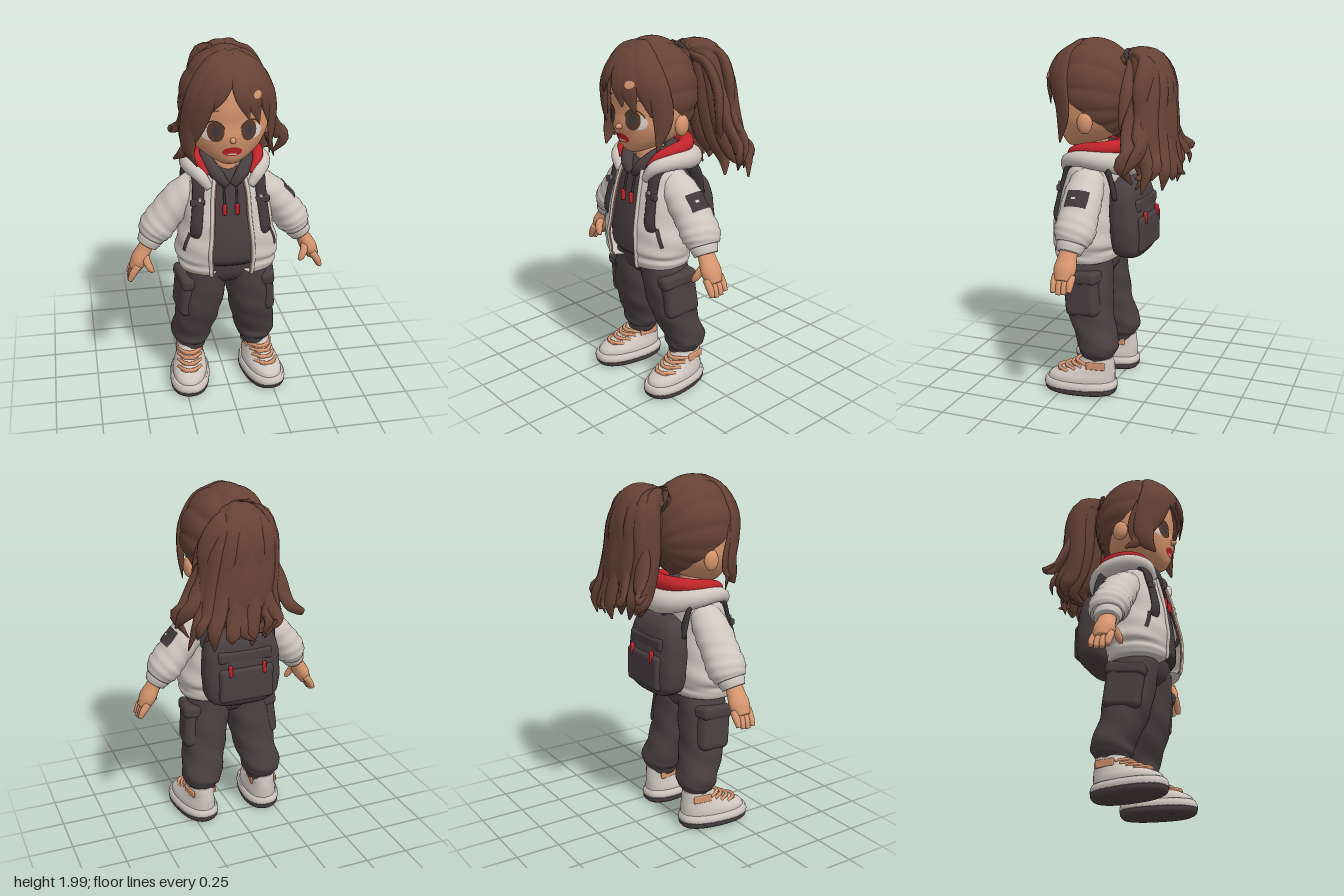
import * as THREE from 'three';
import { RoundedBoxGeometry } from 'three/addons/geometries/RoundedBoxGeometry.js';

const mat = (name, color) => Object.assign(new THREE.MeshStandardMaterial({ color, side: THREE.DoubleSide }), { name });
const V = (x, y, z) => new THREE.Vector3(x, y, z);
const spline = pts => new THREE.CatmullRomCurve3(pts, false, 'catmullrom', 0.5);
const SIDES = [1, -1];

// surface from at(u, v, k); k is 0 on the two end rows so that they pinch shut
function grid(at, n, m, closed = true) {
  const cols = closed ? n : n + 1, pos = [], idx = [];
  for (let j = 0; j <= m; j++) for (let i = 0; i < cols; i++) {
    const v = THREE.MathUtils.clamp((j - 1) / (m - 2), 0, 1);
    pos.push(...at(i / n, v, j === 0 || j === m ? 0 : 1).toArray());
  }
  for (let j = 0; j < m; j++) for (let i = 0; i < n; i++) {
    const k = (i + 1) % cols, a = j * cols + i, b = j * cols + k;
    idx.push(a, b, b + cols, a, b + cols, a + cols);
  }
  const g = new THREE.BufferGeometry();
  g.setAttribute('position', new THREE.Float32BufferAttribute(pos, 3));
  g.setIndex(idx);
  g.computeVertexNormals();
  return g;
}

// upright body from rows [y, cx, cz, rx, rz], bottom to top; p squares it, gap opens the front
function loft(rows, { p = 2, gap = 0, n = 36, m = 30, side = 1, fold = 0 } = {}) {
  const mid = spline(rows.map(r => V(r[1] * side, r[0], r[2])));
  const rad = spline(rows.map(r => V(r[3], 0, r[4])));
  const pw = s => Math.sign(s) * Math.abs(s) ** (2 / p);
  const at = (u, v, k = 1) => {
    const a = gap + u * (Math.PI * 2 - 2 * gap), c = mid.getPoint(v), r = rad.getPoint(v);
    const w = k * (1 + fold * Math.sin(a * 3 + v * 34) * Math.sin(v * Math.PI));
    return V(c.x + r.x * w * pw(Math.sin(a)), c.y, c.z + r.z * w * pw(Math.cos(a)));
  };
  const g = grid(at, n, m, gap === 0);
  g.userData.at = at;
  return g;
}

// tapering strand through [x, y, z, r]; flat is the thickness along ref (default: away from the head)
function sweep(pts, { ref, flat = 1, n = 12, m = 22, ridge = 0, fold = 0 } = {}) {
  const path = spline(pts.map(q => V(q[0], q[1], q[2]))), rad = spline(pts.map(q => V(q[3], 0, 0)));
  return grid((u, v, k) => {
    const a = u * Math.PI * 2, c = path.getPoint(v), t = path.getTangent(v);
    const d = ref ? V(...ref) : c.clone().sub(V(0, 1.62, 0.1));
    const nn = d.addScaledVector(t, -d.dot(t)).normalize(), b = t.clone().cross(nn);
    const r = k * rad.getPoint(v).x * (1 + ridge * Math.cos(a * 9) + fold * Math.sin(v * 40 + 2 * a));
    return c.addScaledVector(nn, r * flat * Math.cos(a)).addScaledVector(b, r * Math.sin(a));
  }, n, m);
}

const ray = new THREE.Raycaster();
const hit = (target, from, dir) => {
  ray.set(from, dir.clone().negate());
  return ray.intersectObject(target)[0]?.point;
};
const frontZ = (target, x, y, off) => hit(target, V(x, y, 2), V(0, 0, 1)).z + off;
// lays a flat geometry onto a target surface, seen along dir
function decal(target, geo, pos, dir, off) {
  const o = new THREE.Object3D(), d = V(...dir).normalize();
  o.position.set(...pos).addScaledVector(d, 0.5);
  o.lookAt(o.position.clone().add(d));
  o.updateMatrix();
  geo.applyMatrix4(o.matrix);
  const P = geo.attributes.position;
  for (let i = 0; i < P.count; i++) {
    const v = V().fromBufferAttribute(P, i), h = hit(target, v, d) ?? v.addScaledVector(d, -0.5);
    P.setXYZ(i, ...h.addScaledVector(d, off).toArray());
  }
  geo.computeVertexNormals();
  return geo;
}
const disc = (rx, ry) => new THREE.RingGeometry(0.001, 1, 28, 4).scale(rx, ry, 1);

export function createModel() {
  const model = new THREE.Group();
  const hair = mat('hair brown', 0x664235), skin = mat('skin peach', 0xd8966f), cloth = mat('jacket off white', 0xcfc6be);
  const dark = mat('charcoal cloth', 0x4a3f41), strapMat = mat('strap charcoal', 0x40383a), red = mat('red', 0xc0242a);
  const iris = mat('iris brown', 0x573a2e), white = mat('eye white', 0xdcd3cc);
  const add = (name, geo, m, x = 0, y = 0, z = 0, parent = model) => {
    const mesh = new THREE.Mesh(geo, m);
    mesh.name = name;
    mesh.position.set(x, y, z);
    parent.add(mesh);
    mesh.updateMatrixWorld(true);
    return mesh;
  };
  const group = name => {
    const g = new THREE.Group();
    g.name = name;
    model.add(g);
    return g;
  };

  // head and face
  const head = add('head', loft([[1.4, 0, .24, .05, .05], [1.43, 0, .2, .11, .11], [1.48, 0, .16, .175, .165], [1.55, 0, .14, .215, .2],
    [1.62, 0, .13, .225, .205], [1.72, 0, .13, .225, .21], [1.82, 0, .13, .2, .19], [1.92, 0, .13, .13, .12]], { n: 48, m: 40 }), skin);
  add('neck', new THREE.CylinderGeometry(.075, .08, .2, 20), skin, 0, 1.38, .14);
  add('nose', new THREE.SphereGeometry(1, 14, 10).scale(.016, .016, .027), skin, 0, 1.545, .342);
  add('mouth', decal(head, disc(.052, .026), [0, 1.48, 0], [0, 0, 1], .004), red);
  add('teeth', decal(head, disc(.026, .005), [0, 1.466, 0], [0, 0, 1], .006), white);
  for (const s of SIDES) {
    const face = (name, geo, x, y, off, m) => add(name, decal(head, geo, [x * s, y, 0], [0, 0, 1], off), m);
    face('eyeWhite', disc(.045, .04), .113, 1.582, .003, white);
    face('iris', disc(.043, .055), .086, 1.592, .005, iris);
    face('pupil', disc(.02, .027), .086, 1.592, .007, strapMat);
    face('upperLash', new THREE.RingGeometry(.94, 1.06, 24, 1, .3, 2.55).scale(.056, .058, 1), .096, 1.59, .008, iris);
    face('eyebrow', disc(.034, .005).rotateZ(-.12 * s), .1, 1.7, .004, hair);
    add('ear', new THREE.SphereGeometry(1, 18, 14).scale(.027, .058, .044), skin, .226 * s, 1.555, .108);
  }

  // hair cap with combed grooves running front to back
  add('hairCap', grid((u, v) => {
    const a = u * Math.PI * 2, c = Math.cos(a), low = 1.62 + (c > 0 ? .2 : .17) * c;
    const f = THREE.MathUtils.lerp(Math.asin((low - 1.7) / .29), Math.PI / 2, v);
    const p = V(.25 * Math.cos(f) * Math.sin(a), .29 * Math.sin(f), .25 * Math.cos(f) * c);
    const g = Math.abs(Math.sin(7 * Math.atan2(p.x, p.y + .08) + Math.PI / 2));
    return p.multiplyScalar(.968 + .044 * Math.sqrt(g)).add(V(0, 1.7, .13));
  }, 144, 40), hair);

  // fringe and face-framing locks [x, y] laid over the cap
  const fringe = group('fringe');
  const capZ = (x, y) => {
    const bulge = .025 * Math.max(0, 1 - Math.abs(x) / .2) * THREE.MathUtils.smoothstep(1.97 - y, 0, .12);
    return .126 + bulge + .25 * Math.sqrt(Math.max(.02, 1 - (x / .25) ** 2 - (Math.max(0, y - 1.7) / .29) ** 2));
  };
  const locks = [
    [.042, [0, 1.96], [-.03, 1.88], [-.08, 1.79], [-.135, 1.69]],
    [.055, [0, 1.97], [-.06, 1.9], [-.13, 1.78], [-.175, 1.64], [-.2, 1.5]],
    [.058, [0, 1.97], [-.1, 1.92], [-.185, 1.78], [-.215, 1.62], [-.215, 1.48], [-.18, 1.4]],
    [.034, [-.15, 1.85], [-.225, 1.7], [-.24, 1.56], [-.235, 1.46], [-.285, 1.4]],
    [.045, [0, 1.96], [.025, 1.88], [.045, 1.78], [.075, 1.67]],
    [.055, [0, 1.97], [.06, 1.89], [.1, 1.77], [.135, 1.64]],
    [.058, [0, 1.97], [.1, 1.9], [.165, 1.78], [.195, 1.62]],
    [.055, [.02, 1.97], [.13, 1.9], [.21, 1.76], [.225, 1.6], [.21, 1.44]],
  ];
  for (const [r, ...pts] of locks) add('fringeLock', sweep(pts.map(([x, y], i) => {
    const t = i / (pts.length - 1);
    return [x, y, capZ(x, y), t === 1 ? .006 : r * (.5 + .54 * Math.sin(Math.PI * (.15 + t * .7)))];
  }), { flat: .36 }), hair, 0, 0, 0, fringe);
  add('hairClip', decal(fringe, disc(.022, .02), [.12, 1.79, .3], [0, 0, 1], .004), skin);

  // ponytail: tie, grooved body, loose curling locks
  add('hairTie', new THREE.TorusGeometry(.07, .012, 10, 28).rotateX(.35), strapMat, 0, 1.862, -.08);
  add('ponytail', sweep([[0, 1.85, -.03, .07], [0, 1.88, -.11, .105], [.02, 1.83, -.2, .17], [.05, 1.62, -.23, .195], [.08, 1.45, -.25, .18],
    [.1, 1.32, -.28, .1]], { ref: [0, .3, -1], flat: .6, n: 54, ridge: .035, m: 30 }), hair);
  for (let k = 0; k < 13; k++) {
    const a = k / 13 * Math.PI * 2, s = Math.sin(a), c = Math.cos(a);
    add('ponytailLock', sweep([[.03 * s, 1.9, -.11 + .03 * c, .04], [.02 + .12 * s, 1.87, -.185 + .06 * c, .052], [.04 + .165 * s, 1.75, -.215 + .09 * c, .055],
      [.06 + .19 * s, 1.58, -.22 + .085 * c, .055], [.08 + .205 * s, 1.42 + .02 * Math.sin(3 * k), -.25 + .09 * c, .05],
      [.1 + .23 * s, 1.33 + .03 * Math.sin(5 * k), -.29 + .08 * c, .036],
      [.13 + .2 * s + .04 * Math.sin(7 * k), 1.26 + .04 * Math.cos(3 * k), -.27 + .09 * c, .006]],
    { ref: [s, 0, c], flat: .6 }), hair);
  }
  const curls = [
    [[.04, 1.9, -.14, .04], [.15, 1.87, -.22, .06], [.23, 1.75, -.22, .06], [.24, 1.6, -.22, .05], [.3, 1.5, -.22, .04], [.36, 1.44, -.25, .006]],
    [[.03, 1.88, -.1, .04], [.14, 1.83, -.14, .05], [.225, 1.71, -.14, .05], [.25, 1.56, -.14, .045], [.22, 1.43, -.18, .03], [.26, 1.36, -.2, .006]],
    [[.1, 1.82, -.2, .04], [.2, 1.68, -.2, .06], [.27, 1.54, -.17, .06], [.34, 1.43, -.18, .05], [.39, 1.37, -.16, .04], [.34, 1.27, -.2, .006]],
    [[.1, 1.75, -.22, .04], [.22, 1.6, -.22, .05], [.3, 1.47, -.24, .05], [.37, 1.4, -.22, .035], [.4, 1.32, -.17, .006]],
    [[-.08, 1.7, -.24, .04], [-.14, 1.55, -.27, .05], [-.18, 1.43, -.32, .035], [-.24, 1.39, -.36, .022], [-.23, 1.42, -.3, .005]],
    [[-.02, 1.6, -.3, .04], [-.06, 1.45, -.33, .04], [-.1, 1.37, -.38, .025], [-.05, 1.33, -.4, .005]],
    [[.08, 1.6, -.3, .04], [.1, 1.42, -.34, .045], [.1, 1.32, -.38, .025], [.04, 1.28, -.4, .005]],
  ];
  for (const pts of curls) add('ponytailCurl', sweep(pts, { flat: .55 }), hair);

  // hoodie and open jacket
  const hoodie = add('hoodie', loft([[.82, 0, .15, .2, .15], [.86, 0, .16, .23, .158], [1, 0, .155, .225, .16], [1.2, 0, .145, .2, .138],
    [1.3, 0, .135, .17, .115], [1.36, 0, .135, .09, .07]], { p: 2.4 }), dark);
  add('hoodieHem', loft([[.81, 0, .15, .2, .15], [.84, 0, .155, .222, .164], [.87, 0, .155, .215, .158]], { p: 2.4, m: 12 }), strapMat);
  const jacketGeo = loft([[.77, 0, .162, .262, .172], [.8, 0, .163, .272, .182], [.83, 0, .163, .27, .18], [.87, 0, .16, .285, .192], [.95, 0, .158, .272, .19],
    [1.05, 0, .155, .25, .18], [1.2, 0, .145, .228, .155], [1.3, 0, .135, .195, .135], [1.36, 0, .13, .13, .1]], { p: 2.4, gap: .33, n: 56, m: 44, fold: .016 });
  const jacket = add('jacket', jacketGeo, cloth);

  // hood: white roll, red lining, dark collar, each swept from left round the back to right
  const around = half => [...half, ...half.slice(0, -1).reverse().map(([x, ...q]) => [-x, ...q])];
  add('hoodRoll', sweep(around([[.11, 1.26, .265, .02], [.16, 1.33, .24, .035], [.2, 1.355, .15, .042], [.185, 1.345, .03, .052], [.11, 1.325, -.065, .06],
    [0, 1.315, -.095, .065]]), { ref: [0, 1, 0], flat: 1.05, n: 16, m: 50 }), cloth);
  add('hoodLining', sweep(around([[.115, 1.33, .25, .01], [.155, 1.385, .21, .024], [.172, 1.405, .13, .034], [.155, 1.41, .03, .04], [.09, 1.415, -.04, .044],
    [0, 1.415, -.062, .046]]), { ref: [0, 1, 0], n: 14, m: 50 }), red);
  add('hoodieCollar', sweep(around([[.015, 1.27, .265, .02], [.06, 1.32, .25, .034], [.105, 1.375, .19, .036], [.11, 1.385, .09, .04], [0, 1.39, .01, .04]]),
    { ref: [0, 1, 0], n: 14, m: 50 }), dark);

  // backpack
  const bag = group('backpack');
  add('bagBody', loft([[.805, 0, -.1, .15, .065], [.845, 0, -.1, .205, .09], [.95, 0, -.097, .225, .098], [1.1, 0, -.085, .22, .092], [1.19, 0, -.075, .19, .078],
    [1.235, 0, -.065, .12, .045]], { p: 3, fold: .008 }), dark, 0, 0, 0, bag);
  add('bagPocket', new RoundedBoxGeometry(.32, .2, .05, 4, .024), dark, 0, .94, -.178, bag);
  add('bagFlap', new RoundedBoxGeometry(.32, .07, .04, 4, .019), dark, 0, 1.1, -.16, bag);
  add('bagHandle', new THREE.TorusGeometry(.035, .01, 8, 18, Math.PI), strapMat, 0, 1.225, -.07, bag);

  for (const s of SIDES) {
    const mx = pts => pts.map(([x, ...q]) => [x * s, ...q]);
    const Z = { ref: [0, 0, 1] };

    // jacket front edge, drawstring, slit pocket, bag zip pull
    const edge = Array.from({ length: 9 }, (_, i) => jacketGeo.userData.at(s > 0 ? 0 : 1, i / 9));
    add('jacketPlacket', sweep(edge.map(e => [e.x + .008 * s, e.y, e.z, .011]), { ...Z, n: 8, m: 30 }), cloth);
    add('zipper', sweep(edge.map(e => [e.x - .003 * s, e.y, e.z, .005]), { ...Z, n: 6, m: 30 }), skin);
    const cord = [1.28, 1.23, 1.17].map(y => [.034 * s, y, frontZ(hoodie, .034, y, .007), .006]);
    add('drawstring', sweep(cord, { ...Z, n: 8 }), strapMat);
    add('drawstringTip', new THREE.CapsuleGeometry(.012, .04, 4, 10), red, .034 * s, 1.145, frontZ(hoodie, .034, 1.145, .01));
    add('slitPocket', decal(jacket, new THREE.PlaneGeometry(.022, .11, 2, 8).rotateZ(.3 * s), [.22 * s, .96, .25], [.6 * s, 0, .8], .006), strapMat);
    add('bagZipPull', new THREE.CapsuleGeometry(.013, .045, 4, 8), red, .1 * s, 1.03, -.197, bag);

    // shoulder strap with buckle, tucked under the arm
    const front = [[.17, 1.22], [.18, 1.12], [.192, 1.02]].map(([x, y]) => [x, y, frontZ(jacket, x * s, y, .008), .032]);
    add('strap', sweep(mx([[.185, 1.14, -.05, .04], [.19, 1.25, -.025, .04], [.175, 1.32, .02, .038], [.165, 1.355, .1, .036], [.165, 1.31, .225, .036], ...front,
      [.2, .95, .24, .02]]), { ref: [.35 * s, .4, 1], flat: .4, m: 40 }), strapMat);
    add('buckle', new RoundedBoxGeometry(.08, .035, .025, 2, .008), dark, .175 * s, 1.185, front[0][2] + .012);
    add('buckleClip', new RoundedBoxGeometry(.02, .02, .012, 2, .004), cloth, .165 * s, 1.205, front[0][2] + .024);

    // sleeve, cuff and hand
    const sleeve = add('sleeve', sweep(mx([[.14, 1.25, .12, .075], [.24, 1.165, .112, .092], [.33, 1.06, .107, .094], [.385, .985, .107, .096], [.415, .935, .112, .075]]),
      { ...Z, flat: 1.18, n: 28, m: 36, fold: .025 }), cloth);
    add('cuff', sweep(mx([[.4, .955, .113, .066], [.418, .925, .115, .07], [.437, .893, .118, .06]]), { ...Z, flat: 1.12, n: 24, m: 12 }), cloth);
    if (s > 0) {
      add('sleevePatch', decal(sleeve, new THREE.PlaneGeometry(.125, .1, 12, 6), [.345, 1.16, .105], [.78, .62, 0], .005), strapMat);
      add('patchTab', decal(sleeve, new THREE.PlaneGeometry(.024, .014, 3, 2), [.345, 1.16, .12], [.78, .62, 0], .008), cloth);
    }
    add('palm', sweep(mx([[.42, .925, .118, .036], [.453, .865, .12, .04], [.483, .81, .122, .046], [.512, .755, .122, .034]]), { ...Z, flat: 1.35, n: 18 }), skin);
    for (let f = 0; f < 4; f++) {
      const z = .075 + f * .031, l = [.85, 1, 1.05, .95][f];
      add('finger', sweep(mx([[.495, .785, z, .021], [.525, .785 - .048 * l, z, .02], [.545, .785 - .092 * l, z, .013]]), { ...Z, n: 10, m: 12 }), skin);
    }
    add('thumb', sweep(mx([[.455, .85, .14, .022], [.447, .81, .172, .022], [.43, .775, .187, .019], [.416, .752, .19, .01]]), { ...Z, n: 10, m: 14 }), skin);

    // trouser leg with cargo pocket
    add('trouserLeg', loft([[.2, .19, .055, .072, .08], [.225, .19, .053, .085, .09], [.25, .19, .05, .105, .105], [.3, .188, .05, .117, .113],
      [.4, .166, .087, .122, .12], [.5, .15, .112, .127, .128], [.62, .13, .125, .128, .135], [.74, .108, .135, .115, .135], [.82, .095, .14, .1, .13]],
    { p: 2.3, side: s, fold: .03, m: 40 }), dark);
    add('trouserCuff', loft([[.185, .19, .056, .074, .082], [.205, .19, .056, .082, .09], [.235, .19, .054, .08, .088]], { side: s, m: 10 }), strapMat);
    const pocket = group('cargoPocket');
    pocket.position.set(.225 * s, .595, .13);
    pocket.rotation.set(.12, -.15 * s, .08 * s);
    add('pocketBag', new RoundedBoxGeometry(.105, .24, .205, 4, .035), dark, 0, -.01, 0, pocket);
    add('pocketFlap', new RoundedBoxGeometry(.117, .075, .22, 4, .026), dark, 0, .09, 0, pocket);

    // shoe
    const shoe = group('shoe');
    shoe.position.set(.192 * s, 0, 0);
    shoe.rotation.y = .15 * s;
    add('sole', loft([[0, 0, .14, .095, .185], [.015, 0, .148, .112, .206], [.045, 0, .15, .115, .212]], { p: 2.4, m: 10 }), dark, 0, 0, 0, shoe);
    add('midsole', loft([[.038, 0, .15, .115, .212], [.06, 0, .15, .115, .212], [.08, 0, .15, .105, .203]], { p: 2.4, m: 10 }), cloth, 0, 0, 0, shoe);
    add('shoeUpper', loft([[.07, 0, .148, .1, .198], [.105, 0, .14, .097, .19], [.135, 0, .11, .086, .16], [.165, 0, .075, .077, .122], [.195, 0, .055, .074, .098],
      [.22, 0, .05, .07, .088]], { p: 2.2 }), cloth, 0, 0, 0, shoe);
    for (const [y, z] of [[.135, .268], [.152, .225], [.17, .188], [.187, .162]]) for (const t of SIDES)
      add('lace', sweep([[-.066, y - .012 - .008 * t, z - .055, .009], [-.035, y - .005 * t, z - .005, .01], [0, y + .004, z + .008, .01],
        [.035, y + .005 * t, z - .005, .01], [.066, y - .012 + .008 * t, z - .055, .009]], { ref: [0, 1, 0], n: 8, m: 14 }), skin, 0, 0, 0, shoe);
    for (const t of SIDES)
      add('anklePanel', new RoundedBoxGeometry(.014, .042, .11, 2, .006), skin, .073 * t, .18, .05, shoe);
  }
  add('trouserSeat', loft([[.68, 0, .13, .09, .1], [.72, 0, .135, .17, .128], [.78, 0, .14, .2, .14], [.86, 0, .145, .2, .14]], { p: 2.4, m: 16 }), dark);
  return model;
}
